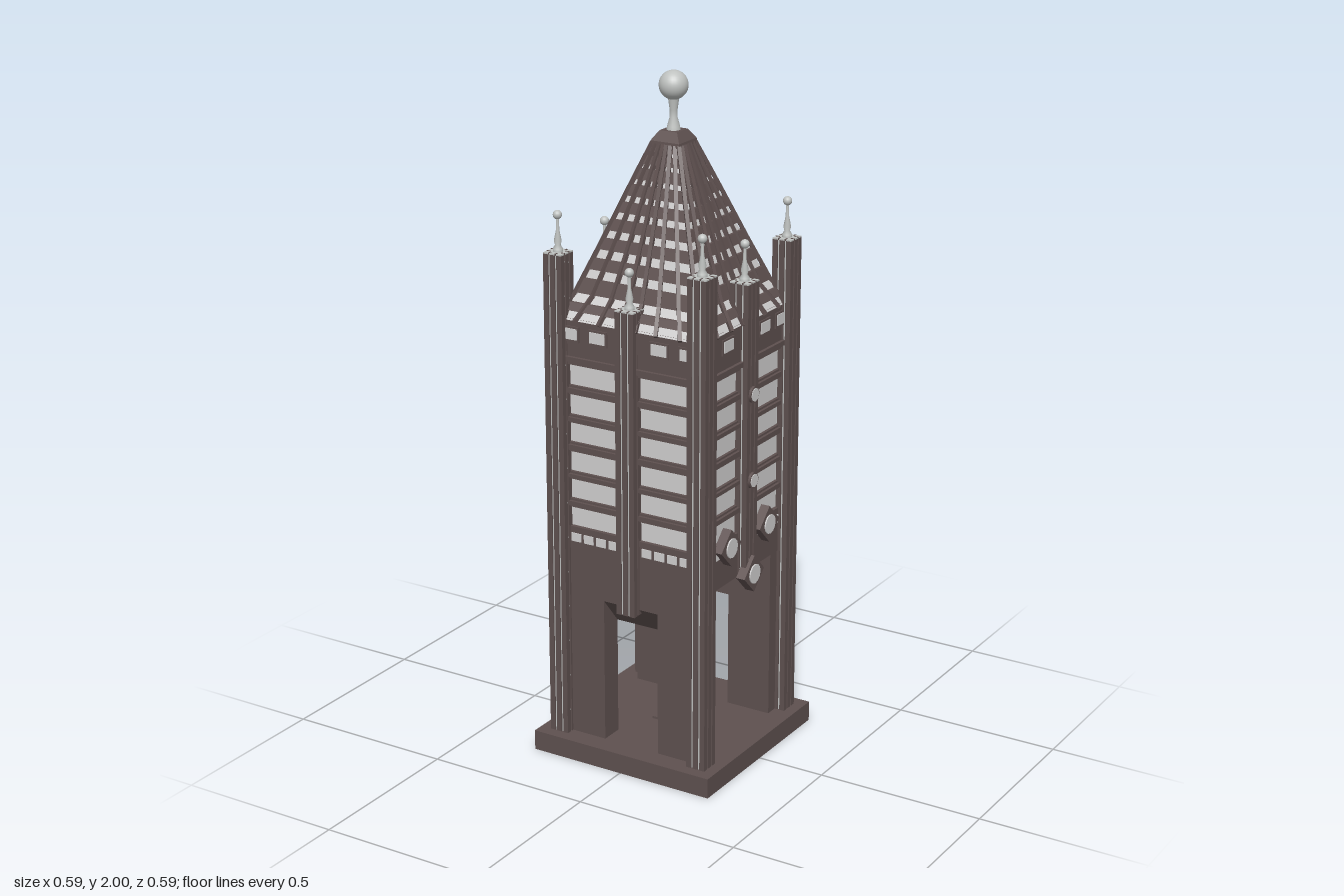
import * as THREE from 'three';

const mat = (name, color) => {
  const m = new THREE.MeshStandardMaterial({ color });
  m.name = name;
  return m;
};

export function createModel() {
  const brown = mat('brown stone', 0x5e504f);
  const pale = mat('pale glass', 0xd0cfcf);
  const trim = mat('grey trim', 0xbfc2c0);
  const root = new THREE.Group();
  root.name = 'tower';

  const group = (name, parent = root) => {
    const g = new THREE.Group();
    g.name = name;
    parent.add(g);
    return g;
  };
  const add = (parent, name, geo, m, x = 0, y = 0, z = 0) => {
    const mesh = new THREE.Mesh(geo, m);
    mesh.name = name;
    mesh.position.set(x, y, z);
    parent.add(mesh);
    return mesh;
  };
  // box given by its bottom and top heights
  const block = (parent, name, m, w, y0, y1, d, x = 0, z = 0) =>
    add(parent, name, new THREE.BoxGeometry(w, y1 - y0, d), m, x, (y0 + y1) / 2, z);
  // square frustum with flat faces, half widths r0 below and r1 above
  const frustum = (parent, name, m, r0, r1, y0, y1) => {
    const geo = new THREE.CylinderGeometry(r1 * Math.SQRT2, r0 * Math.SQRT2, y1 - y0, 4)
      .rotateY(Math.PI / 4).toNonIndexed();
    geo.computeVertexNormals();
    return add(parent, name, geo, m, 0, (y0 + y1) / 2, 0);
  };
  const beam = (parent, name, m, a, b, w) => {
    const mesh = new THREE.Mesh(new THREE.BoxGeometry(w, w, a.distanceTo(b)), m);
    mesh.name = name;
    mesh.position.copy(a).add(b).multiplyScalar(0.5);
    mesh.lookAt(b);
    parent.add(mesh);
  };
  const lathe = (pts) => new THREE.LatheGeometry(pts.map(p => new THREE.Vector2(...p)), 16);

  // plinth and floor plate
  block(root, 'plinth', brown, 0.59, 0, 0.06, 0.59);
  block(root, 'floorPlate', brown, 0.09, 0.06, 0.067, 0.09);

  // fluted column with a pale core, brown bars and a finial
  const finialGeo = lathe([[0.014, 0], [0.014, 0.008], [0.008, 0.018], [0.011, 0.03], [0.005, 0.06], [0.004, 0.1]]);
  const column = (parent, name, y0, y1, x, z) => {
    const c = group(name, parent);
    c.position.set(x, 0, z);
    block(c, 'core', trim, 0.052, y0, y1, 0.052);
    block(c, 'cap', trim, 0.059, y1 - 0.004, y1, 0.059);
    for (let s = 0; s < 4; s++) {
      const side = group('flutes', c);
      side.rotation.y = s * Math.PI / 2;
      for (const k of [-1, 0, 1])
        block(side, 'flute', brown, 0.016, y0, y1 - 0.004, 0.008, k * 0.022, 0.026);
      for (const k of [-1, 1])
        block(side, 'capNotch', brown, 0.004, y1 - 0.004, y1 + 0.001, 0.012, k * 0.011, 0.024);
    }
    add(c, 'finialStem', finialGeo, trim, 0, y1, 0);
    add(c, 'finialBall', new THREE.SphereGeometry(0.013, 16, 12), trim, 0, y1 + 0.104, 0);
  };
  for (const sx of [-1, 1])
    for (const sz of [-1, 1]) {
      column(root, 'cornerColumn', 0.06, 1.51, sx * 0.232, sz * 0.23);
      block(root, 'cornerPier', brown, 0.14, 0.06, 0.57, 0.07, sx * 0.16, sz * 0.197);
    }

  // body: pale glazed core between brown storeys
  const windowRows = [[0.704, 0.762], [0.788, 0.847], [0.87, 0.93], [0.958, 1.016], [1.04, 1.10], [1.127, 1.19]];
  block(root, 'glazedCore', pale, 0.44, 0.7, 1.2, 0.44);
  block(root, 'lowerBody', brown, 0.464, 0.57, 0.704, 0.464);
  block(root, 'cornice', brown, 0.47, 1.19, 1.325, 0.47);
  windowRows.slice(0, -1).forEach(([, top], i) => {
    const next = windowRows[i + 1][0];
    block(root, 'storeyBand', brown, 0.458, top, next, 0.458);
    block(root, 'storeySill', brown, 0.474, top + 0.006, next - 0.006, 0.474);
  });

  // details on each of the four walls
  for (let i = 0; i < 4; i++) {
    const wall = group(['frontWall', 'leftWall', 'backWall', 'rightWall'][i]);
    wall.rotation.y = i * Math.PI / 2;
    const lateral = i % 2 === 1;
    for (const s of [-1, 1]) {
      for (const x of [0.055, 0.097, 0.139, 0.181])
        block(wall, 'lowWindow', pale, 0.032, 0.66, 0.685, 0.006, s * x, 0.232);
      for (const x of [0.1, 0.192]) {
        block(wall, 'highWindowFrame', brown, 0.062, 1.258, 1.303, 0.008, s * x, 0.235);
        block(wall, 'highWindow', pale, 0.05, 1.265, 1.297, 0.006, s * x, 0.238);
      }
    }
    block(wall, 'corniceMoulding', brown, 0.42, 1.2, 1.215, 0.02, 0, 0.235);
    column(wall, 'middlePillar', lateral ? 0.57 : 0.48, lateral ? 1.44 : 1.38, 0, 0.229);

    if (lateral) {
      // diamond medallions and round bosses
      for (const [x, y, z] of [[-0.107, 0.69, 0.243], [0.107, 0.69, 0.243], [0, 0.577, 0.256]]) {
        const d = block(wall, 'diamond', brown, 0.078, y - 0.039, y + 0.039, 0.028, x, z);
        d.rotation.z = Math.PI / 4;
        add(wall, 'medallion', new THREE.CylinderGeometry(0.029, 0.029, 0.006, 12).rotateX(Math.PI / 2), pale, x, y, z + 0.015);
      }
      for (const y of [0.86, 1.115]) {
        add(wall, 'bossRing', new THREE.CylinderGeometry(0.025, 0.025, 0.01, 8).rotateX(Math.PI / 2), brown, 0, y, 0.261);
        add(wall, 'boss', new THREE.CylinderGeometry(0.02, 0.02, 0.006, 8).rotateX(Math.PI / 2), pale, 0, y, 0.265);
      }
    } else {
      // lintel with a sloped soffit over the doorway
      const s = new THREE.Shape([[0.162, 0.412], [0.162, 0.575], [0.232, 0.575], [0.232, 0.495]]
        .map(([z, y]) => new THREE.Vector2(-z, y)));
      const geo = new THREE.ExtrudeGeometry(s, { depth: 0.19, bevelEnabled: false })
        .rotateY(Math.PI / 2).translate(-0.095, 0, 0);
      add(wall, 'lintel', geo, brown);
    }
  }

  // concave roof: pale core, brown bands and ribs
  const profile = [[0.246, 1.32], [0.2, 1.39], [0.15, 1.52], [0.1, 1.655], [0.068, 1.74], [0.045, 1.8]];
  const radius = (y) => {
    for (let k = 1; k < profile.length; k++) {
      const [r0, y0] = profile[k - 1], [r1, y1] = profile[k];
      if (y <= y1) return r0 + (r1 - r0) * (y - y0) / (y1 - y0);
    }
    return profile[profile.length - 1][0];
  };
  const roof = group('roof');
  for (let k = 1; k < profile.length; k++) {
    const [r0, y0] = profile[k - 1], [r1, y1] = profile[k];
    frustum(roof, 'roofGlazing', pale, r0 - 0.008, r1 - 0.008, y0, y1);
  }
  const slits = [[1.325, 1.345], [1.366, 1.39], [1.43, 1.455], [1.485, 1.51], [1.54, 1.562],
    [1.592, 1.612], [1.64, 1.658], [1.688, 1.703], [1.732, 1.745], [1.768, 1.779]];
  slits.forEach(([, y0], k) => {
    const y1 = k + 1 < slits.length ? slits[k + 1][0] : 1.8;
    frustum(roof, 'roofBand', brown, radius(y0), radius(y1), y0, y1);
  });
  for (let i = 0; i < 4; i++) {
    const side = group('roofRibs', roof);
    side.rotation.y = i * Math.PI / 2;
    for (const u of [-0.7, -0.38, -0.11, 0.11, 0.38, 0.7, 1])
      for (let k = 1; k < profile.length; k++) {
        const [a, b] = [profile[k - 1], profile[k]].map(([r, y]) =>
          new THREE.Vector3(u * (r - 0.002), y, r - 0.002));
        beam(side, 'rib', brown, a, b, 0.011);
      }
  }

  // crown and ball
  frustum(root, 'crownBase', brown, 0.048, 0.046, 1.795, 1.808);
  frustum(root, 'crown', brown, 0.046, 0.028, 1.808, 1.835);
  add(root, 'topStem', lathe([[0.02, 1.832], [0.018, 1.845], [0.011, 1.87], [0.011, 1.89], [0.016, 1.925]]), trim);
  add(root, 'topBall', new THREE.SphereGeometry(0.041, 28, 18), trim, 0, 1.959, 0);
  return root;
}
